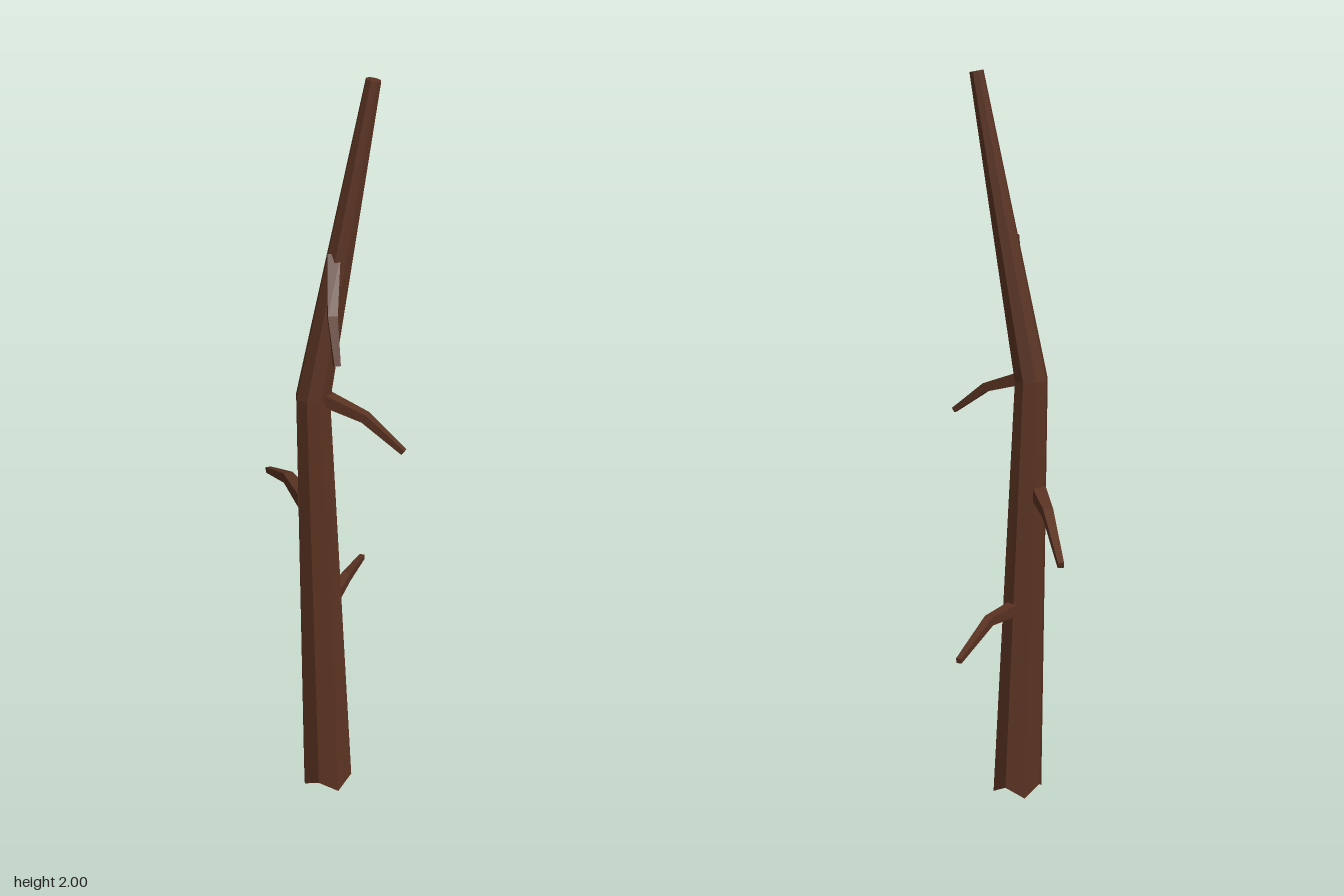
import * as THREE from 'three';

const bark = new THREE.MeshStandardMaterial({ color: 0x5a3322, flatShading: true, roughness: 1 });

// Sweeps a tapering polygon along points [x, y, z, radius] and caps both ends.
// ref is a direction across the limb that fixes the roll of the polygon;
// ragged is the height of the notches around the first ring.
function limb(name, path, sides, ref, ragged = 0) {
  const pts = path.map(p => new THREE.Vector3(p[0], p[1], p[2]));
  const pos = [], index = [];
  pts.forEach((p, i) => {
    const t = new THREE.Vector3();
    if (i > 0) t.add(p.clone().sub(pts[i - 1]).normalize());
    if (i < pts.length - 1) t.add(pts[i + 1].clone().sub(p).normalize());
    t.normalize();
    const u = ref.clone().addScaledVector(t, -ref.dot(t)).normalize();
    const v = t.clone().cross(u);
    for (let k = 0; k < sides; k++) {
      const a = (k + 0.5) / sides * Math.PI * 2;
      const q = p.clone()
        .addScaledVector(u, Math.cos(a) * path[i][3])
        .addScaledVector(v, Math.sin(a) * path[i][3]);
      if (i === 0 && ragged) q.y = k % 2 ? ragged : 0;
      pos.push(q.x, q.y, q.z);
    }
  });
  const start = pos.length / 3, end = start + 1, last = (pts.length - 1) * sides;
  pos.push(...pts[0].toArray(), ...pts[pts.length - 1].toArray());
  for (let k = 0; k < sides; k++) {
    const n = (k + 1) % sides;
    for (let i = 0; i < pts.length - 1; i++) {
      const a = i * sides + k, b = i * sides + n;
      index.push(a, b, b + sides, a, b + sides, a + sides);
    }
    index.push(start, n, k, end, last + k, last + n);
  }
  const geo = new THREE.BufferGeometry();
  geo.setAttribute('position', new THREE.Float32BufferAttribute(pos, 3));
  geo.setIndex(index);
  const flat = geo.toNonIndexed();
  flat.computeVertexNormals();
  const mesh = new THREE.Mesh(flat, bark);
  mesh.name = name;
  return mesh;
}

export function createModel() {
  const tree = new THREE.Group();
  tree.name = 'deadTree';

  // Trunk: leans from the bend to the tip, with a splintered foot
  tree.add(limb('trunk', [
    [-0.018, 0.035, 0.12, 0.071],
    [-0.053, 1.19, 0.12, 0.046],
    [0.091, 1.996, 0.118, 0.019],
  ], 8, new THREE.Vector3(0, 0, 1), 0.03));

  // Bare branches: four-sided, drooping towards the tip
  const up = new THREE.Vector3(0, 1, 0);
  const branches = {
    lowBackBranch: [[-0.015, 0.555, 0.09, 0.025], [0.042, 0.563, -0.04, 0.017], [0.098, 0.517, -0.224, 0.01]],
    middleBackBranch: [[-0.075, 0.885, 0.10, 0.027], [-0.115, 0.873, -0.05, 0.019], [-0.167, 0.795, -0.247, 0.011]],
    frontLeftBranch: [[-0.045, 1.2, 0.125, 0.025], [0.075, 1.157, 0.175, 0.017], [0.17, 1.08, 0.221, 0.01]],
    highFrontBranch: [[0.0, 1.57, 0.125, 0.023], [-0.008, 1.44, 0.2, 0.017], [0.001, 1.327, 0.24, 0.011]],
  };
  for (const [name, path] of Object.entries(branches)) tree.add(limb(name, path, 4, up));

  return tree;
}
